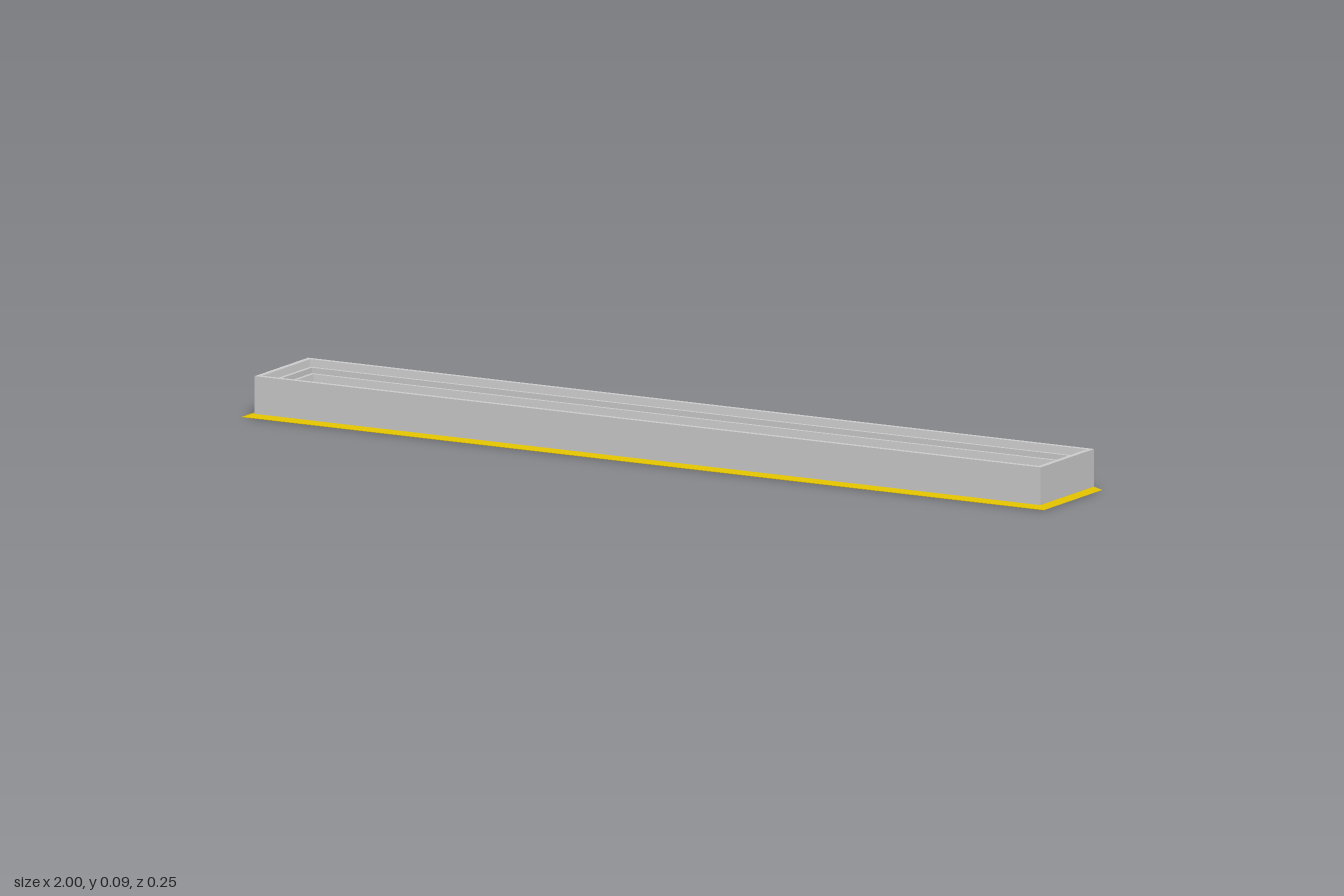
import * as THREE from 'three';

const HALF_X = 0.98, BACK = -0.125, FRONT = 0.105;

// Closed rectangle, inset from the outer face of the frame
const ring = (d) => [
  [-HALF_X + d, BACK + d], [-HALF_X + d, FRONT - d],
  [HALF_X - d, FRONT - d], [HALF_X - d, BACK + d], [-HALF_X + d, BACK + d],
];

// Three-sided path that stops flush at the back
const threeSides = (d) => [
  [-HALF_X + d, BACK + 0.0005], [-HALF_X + d, FRONT - d],
  [HALF_X - d, FRONT - d], [HALF_X - d, BACK + 0.0005],
];

// Sweeps a closed [inset, height] profile along a mitred path
function sweep(name, profile, path, color, capped = false) {
  const rows = profile.map(([d, y]) => path(d).map(([x, z]) => [x, y, z]));
  const verts = [];
  const tri = (a, b, c) => verts.push(...a, ...b, ...c);
  rows.forEach((row, i) => {
    const next = rows[(i + 1) % rows.length];
    for (let j = 0; j < row.length - 1; j++) {
      tri(row[j], row[j + 1], next[j + 1]);
      tri(row[j], next[j + 1], next[j]);
    }
  });
  if (capped) {
    const last = rows[0].length - 1;
    for (let i = 1; i < rows.length - 1; i++) {
      tri(rows[0][0], rows[i][0], rows[i + 1][0]);
      tri(rows[0][last], rows[i + 1][last], rows[i][last]);
    }
  }
  const geometry = new THREE.BufferGeometry();
  geometry.setAttribute('position', new THREE.Float32BufferAttribute(verts, 3));
  geometry.computeVertexNormals();
  const material = new THREE.MeshStandardMaterial({ color, side: THREE.DoubleSide });
  const mesh = new THREE.Mesh(geometry, material);
  mesh.name = name;
  return mesh;
}

export function createModel() {
  const group = new THREE.Group();
  group.name = 'rectangularFrame';

  // Hollow frame with a stepped inner wall
  group.add(sweep('frame', [
    [0, 0.002], [0, 0.09], [0.012, 0.09], [0.014, 0.074], [0.022, 0.074],
    [0.022, 0.062], [0.03, 0.062], [0.032, 0.042], [0.046, 0.032],
    [0.046, 0], [0.04, 0], [0.038, 0.002],
  ], ring, 0xcccccc));

  // Thin sloping flange along the front and both ends
  group.add(sweep('flange', [
    [-0.02, 0.001], [-0.02, 0.002], [0, 0.007], [0.01, 0.007], [0.01, 0.003], [0, 0.001],
  ], threeSides, 0xe0c000, true));

  // Narrow seal around the opening
  group.add(sweep('seal', [
    [0.044, 0.026], [0.044, 0.03], [0.048, 0.03], [0.048, 0.026],
  ], ring, 0x20d020));

  return group;
}
